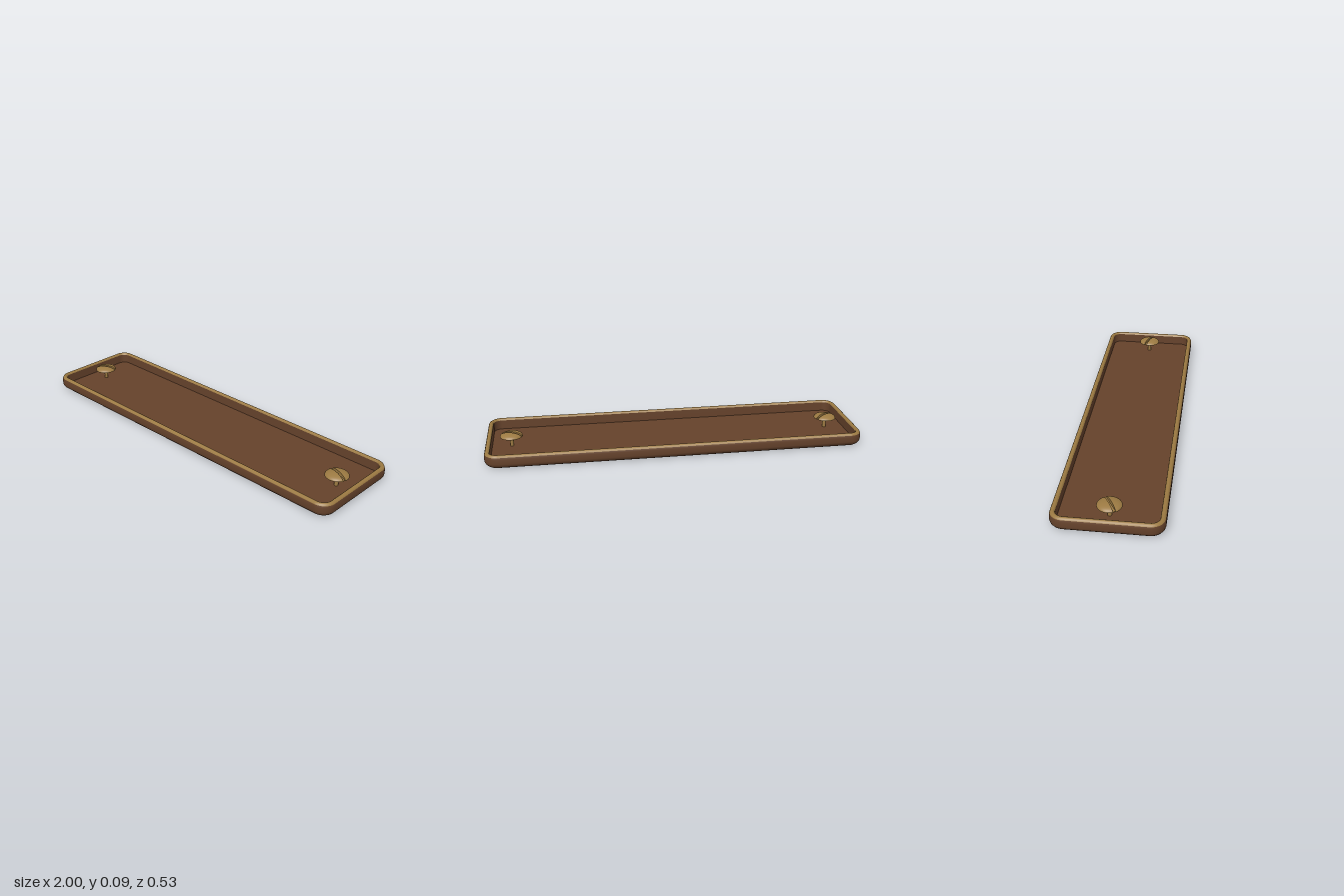
import * as THREE from 'three';
import { mergeGeometries } from 'three/addons/utils/BufferGeometryUtils.js';

const HALF_X = 1, HALF_Z = 0.265, CORNER = 0.07;

// Rounded-rectangle outline, shrunk by an inset
function outline(inset, steps = 10) {
  const r = CORNER - inset, points = [];
  const corners = [[1, 1], [-1, 1], [-1, -1], [1, -1]];
  corners.forEach(([sx, sz], i) => {
    for (let k = 0; k <= steps; k++) {
      const a = (i + k / steps) * Math.PI / 2;
      points.push(new THREE.Vector2(
        sx * (HALF_X - CORNER) + r * Math.cos(a),
        sz * (HALF_Z - CORNER) + r * Math.sin(a)));
    }
  });
  return points;
}

// Sweeps a profile of [inset, height] points around the outline
function band(profile) {
  const positions = [], index = [];
  const n = outline(0).length;
  profile.forEach(([inset, y], row) => {
    outline(inset).forEach((p, i) => {
      positions.push(p.x, y, p.y);
      if (row === profile.length - 1) return;
      const a = row * n + i, b = row * n + (i + 1) % n;
      index.push(a, a + n, b, b, a + n, b + n);
    });
  });
  const g = new THREE.BufferGeometry();
  g.setAttribute('position', new THREE.Float32BufferAttribute(positions, 3));
  g.setIndex(index);
  g.computeVertexNormals();
  return g;
}

// Flat sheet filling the outline, facing up or down
function sheet(inset, y, up) {
  const g = new THREE.ShapeGeometry(new THREE.Shape(outline(inset)));
  g.rotateX(up ? -Math.PI / 2 : Math.PI / 2);
  g.translate(0, y, 0);
  return g;
}

// Domed screw head split by a straight slot along x
function screwHeadGeometry(radius, height, halfSlot) {
  const parts = [];
  const cut = Math.acos(halfSlot / radius);
  for (const turn of [0, Math.PI]) {
    const cap = new THREE.SphereGeometry(radius, 28, 14, 0, Math.PI, 0, cut);
    cap.rotateX(-Math.PI / 2);
    const wall = new THREE.CircleGeometry(radius * Math.sin(cut), 28, 0, Math.PI);
    wall.translate(0, 0, -halfSlot);
    parts.push(cap.rotateY(turn), wall.rotateY(turn));
  }
  const slotFloor = new THREE.BoxGeometry(radius * 1.95, radius * 0.16, halfSlot * 2);
  slotFloor.translate(0, radius * 0.08, 0);
  const underside = new THREE.CircleGeometry(radius, 36).rotateX(Math.PI / 2);
  parts.push(slotFloor, underside);
  return mergeGeometries(parts).scale(1, height / radius, 1);
}

export function createModel() {
  const model = new THREE.Group();
  model.name = 'screwedPlate';

  const brown = new THREE.MeshStandardMaterial({ color: 0x65422b });
  brown.name = 'brown';
  const brass = new THREE.MeshStandardMaterial({ color: 0x9c7a42 });
  brass.name = 'brass';

  const add = (name, geometry, material, parent = model) => {
    const mesh = new THREE.Mesh(geometry, material);
    mesh.name = name;
    parent.add(mesh);
    return mesh;
  };

  const floorY = 0.013;

  // Tray body
  add('outerWall', band([[0.021, 0], [0.01, 0.008], [0.003, 0.017], [0, 0.027],
    [0, 0.052], [0.003, 0.062]]), brown);
  add('underside', sheet(0.021, 0, false), brown);
  add('innerWall', band([[0.027, 0.063], [0.028, floorY]]), brown);
  add('floor', sheet(0.028, floorY, true), brown);

  // Raised edge
  add('rim', band([[0.003, 0.062], [0.006, 0.068], [0.012, 0.072], [0.019, 0.072],
    [0.024, 0.069], [0.027, 0.063]]), brass);

  // Screws, each with its own slot angle
  const headY = 0.068;
  const head = screwHeadGeometry(0.06, 0.022, 0.007);
  const shank = new THREE.CylinderGeometry(0.01, 0.01, headY - floorY, 16);
  for (const [name, x, angle] of [['rightScrew', -0.868, 30], ['leftScrew', 0.868, -20]]) {
    const screw = new THREE.Group();
    screw.name = name;
    screw.position.x = x;
    screw.rotation.y = THREE.MathUtils.degToRad(angle);
    add('screwHead', head, brass, screw).position.y = headY;
    add('screwShank', shank, brass, screw).position.y = (headY + floorY) / 2;
    model.add(screw);
  }

  return model;
}
